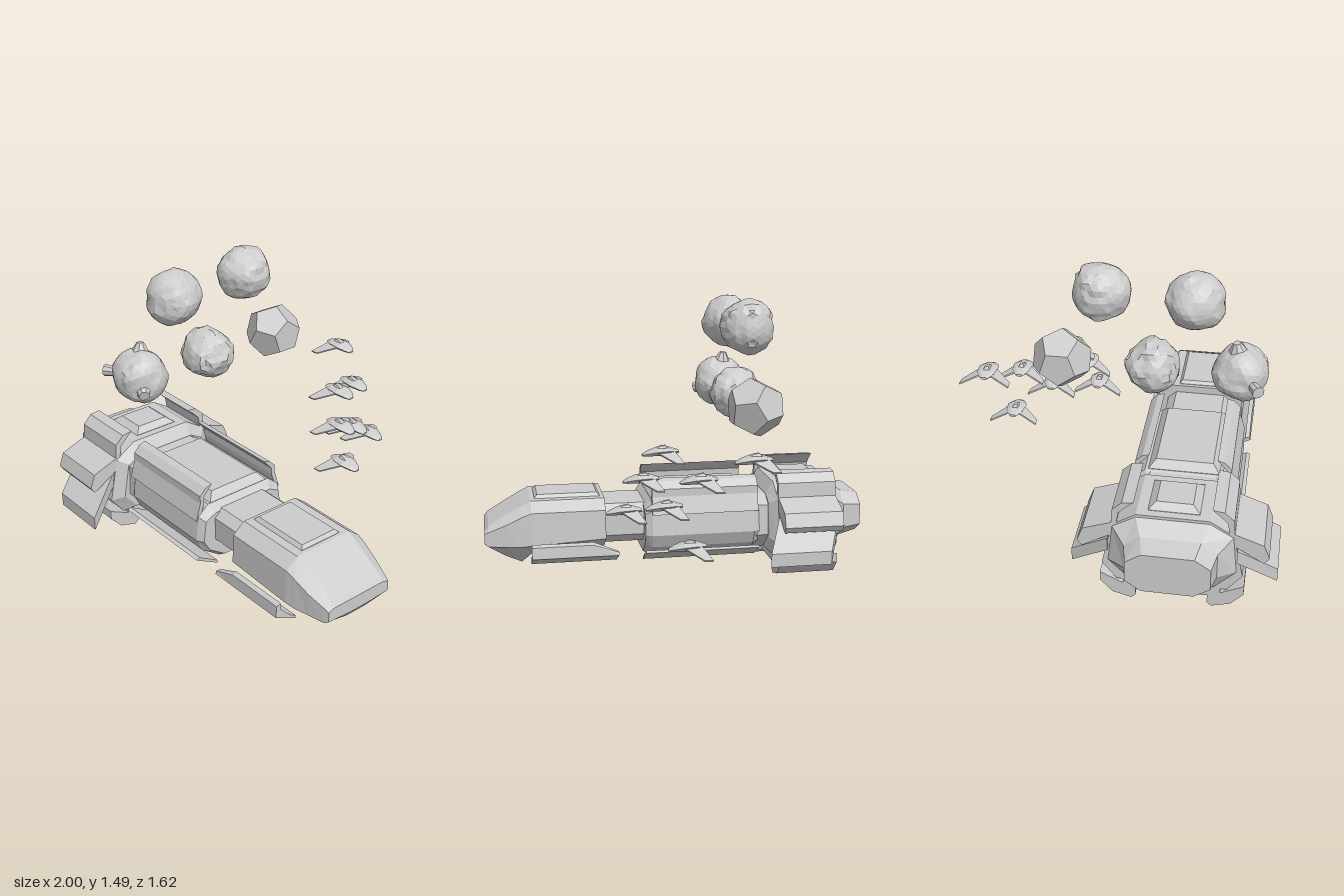
import * as THREE from 'three';

const material = new THREE.MeshStandardMaterial({ color: 0xcccccc, flatShading: true, side: THREE.DoubleSide });

function addMesh(parent, name, geometry) {
  const mesh = new THREE.Mesh(geometry, material);
  mesh.name = name;
  parent.add(mesh);
  return mesh;
}

// Joins cross-sections { x, pts: [[z, y], ...] } in order of rising x, with end caps.
function loft(sections) {
  const contour = sections[0].pts.map(([z, y]) => new THREE.Vector2(-z, y));
  const flip = THREE.ShapeUtils.isClockWise(contour);
  if (flip) contour.reverse();
  const rings = sections.map(({ x, pts, shear = 0 }) => {
    const ring = pts.map(([z, y]) => [x + shear * Math.abs(z), y, z]);
    return flip ? ring.reverse() : ring;
  });
  const n = contour.length, last = rings.length - 1, out = [];
  const tri = (...corners) => corners.forEach((c) => out.push(...c));
  for (let s = 0; s < last; s++) {
    for (let i = 0; i < n; i++) {
      const j = (i + 1) % n, a = rings[s], b = rings[s + 1];
      tri(a[i], a[j], b[j]);
      tri(a[i], b[j], b[i]);
    }
  }
  for (const [a, b, c] of THREE.ShapeUtils.triangulateShape(contour, [])) {
    tri(rings[last][a], rings[last][b], rings[last][c]);
    tri(rings[0][a], rings[0][c], rings[0][b]);
  }
  const geometry = new THREE.BufferGeometry();
  geometry.setAttribute('position', new THREE.Float32BufferAttribute(out, 3));
  geometry.computeVertexNormals();
  return geometry;
}

// Hull from half outlines (top to bottom), mirrored across the centre line.
function hull(parent, name, sections) {
  return addMesh(parent, name, loft(sections.map(([x, ...half]) => ({
    x, pts: [...half, ...half.map(([z, y]) => [-z, y]).reverse()],
  }))));
}

// A pair of armour plates, one on each side.
function plates(parent, name, x0, x1, profile, shear = 0) {
  for (const side of [1, -1]) {
    const pts = profile.map(([z, y]) => [z * side, y]);
    addMesh(parent, name, loft([{ x: x0, pts, shear }, { x: x1, pts, shear }]));
  }
}

// Raised roof panel with sloped edges.
function roofPanel(parent, name, x0, x1, half, y0, y1, edge) {
  hull(parent, name, [
    [x0, [half, y0 + 0.002], [half, y0]],
    [x0 + edge, [half - edge, y1], [half, y0]],
    [x1 - edge, [half - edge, y1], [half, y0]],
    [x1, [half, y0 + 0.002], [half, y0]],
  ]);
}

function carrier() {
  const ship = new THREE.Group();
  ship.name = 'carrierShip';

  // Stern engine housing and rear block
  hull(ship, 'engineHousing', [
    [-1, [0.12, 0.41], [0.195, 0.36], [0.195, 0.25], [0.12, 0.2]],
    [-0.9, [0.14, 0.43], [0.215, 0.37], [0.215, 0.24], [0.14, 0.18]],
    [-0.83, [0.17, 0.485], [0.28, 0.42], [0.3, 0.22], [0.2, 0.12]],
  ]);
  const block = [[0.17, 0.5], [0.28, 0.43], [0.33, 0.2], [0.26, 0.11]];
  hull(ship, 'rearBlock', [
    [-0.83, ...block], [-0.52, ...block],
    [-0.48, [0.16, 0.44], [0.235, 0.4], [0.27, 0.22], [0.2, 0.14]],
  ]);
  roofPanel(ship, 'rearRoofPanel', -0.79, -0.56, 0.12, 0.5, 0.53, 0.035);

  // Rear armour: hooked hood plates, swept wings and lower claws
  plates(ship, 'hoodPlate', -0.83, -0.52, [
    [0.18, 0.565], [0.235, 0.558], [0.28, 0.515], [0.285, 0.44], [0.42, 0.39],
    [0.447, 0.32], [0.425, 0.288], [0.27, 0.38], [0.25, 0.5], [0.215, 0.535]]);
  plates(ship, 'sweptWing', -0.995, -0.675, [[0.49, 0.2], [0.49, 0.13], [0.3, 0.29], [0.3, 0.36]], 0.49);
  plates(ship, 'lowerClaw', -0.83, -0.52, [
    [0, 0.118], [0.17, 0.118], [0.23, 0.13], [0.23, 0.085], [0.34, 0.138], [0.34, 0.09],
    [0.28, 0.025], [0.19, 0], [0.17, 0.02], [0.17, 0.062], [0, 0.062]]);

  // Necks joining the hull sections
  const neck = [[0.13, 0.41], [0.175, 0.37], [0.175, 0.25], [0.12, 0.2]];
  hull(ship, 'forwardNeck', [[0.12, ...neck], [0.4, ...neck]]);
  const joint = [[0.16, 0.435], [0.23, 0.39], [0.24, 0.23], [0.14, 0.14]];
  hull(ship, 'rearNeck', [[-0.5, ...joint], [-0.38, ...joint]]);

  // Middle hull with roof panel, upper fins and lower rails
  const middle = [[0.19, 0.44], [0.25, 0.39], [0.265, 0.26], [0.23, 0.19], [0.13, 0.12]];
  hull(ship, 'middleHull', [
    [-0.43, [0.17, 0.42], [0.23, 0.37], [0.245, 0.26], [0.21, 0.2], [0.12, 0.14]],
    [-0.4, ...middle], [0.14, ...middle],
    [0.175, [0.17, 0.4], [0.23, 0.37], [0.245, 0.26], [0.21, 0.2], [0.12, 0.14]],
  ]);
  roofPanel(ship, 'middleRoofPanel', -0.39, 0.14, 0.175, 0.44, 0.48, 0.035);
  plates(ship, 'upperFin', -0.42, 0.14, [
    [0.165, 0.545], [0.2, 0.535], [0.235, 0.5], [0.235, 0.46], [0.262, 0.37],
    [0.24, 0.37], [0.215, 0.45], [0.213, 0.49], [0.19, 0.515]]);
  plates(ship, 'lowerRail', -0.42, 0.18, [
    [0.29, 0.245], [0.297, 0.18], [0.17, 0.11], [0.17, 0.125], [0.278, 0.188], [0.265, 0.245]].slice(1, 5));

  // Bow hull with a tapering chin
  hull(ship, 'bowHull', [
    [0.38, [0.16, 0.45], [0.225, 0.4], [0.232, 0.25], [0.12, 0.18]],
    [0.76, [0.16, 0.45], [0.225, 0.4], [0.232, 0.23], [0.1, 0.15]],
    [0.81, [0.155, 0.425], [0.22, 0.38], [0.225, 0.225], [0.055, 0.095]],
    [0.89, [0.15, 0.38], [0.21, 0.34], [0.21, 0.225], [0.055, 0.13]],
    [0.98, [0.15, 0.325], [0.19, 0.3], [0.192, 0.225], [0.055, 0.2]],
    [1, [0.15, 0.3], [0.185, 0.29], [0.185, 0.238], [0.055, 0.23]],
  ]);
  roofPanel(ship, 'bowRoofPanel', 0.4, 0.74, 0.115, 0.45, 0.468, 0.015);
  const bowRail = [[0.262, 0.245], [0.285, 0.235], [0.29, 0.175], [0.17, 0.115], [0.17, 0.13], [0.265, 0.185]];
  for (const side of [1, -1]) {
    const at = (x, lift) => ({ x, pts: bowRail.map(([z, y]) => [z * side, Math.min(y, lift)]) });
    addMesh(ship, 'bowRail', loft([at(0.32, 0.19), at(0.45, 0.245), at(0.765, 0.245)]));
  }
  ship.position.z = 0.315;
  return ship;
}

// Small fighter: faceted hull, cockpit and drooping swept wings
function fighter() {
  const craft = new THREE.Group();
  craft.name = 'fighter';
  hull(craft, 'fighterHull', [
    [-0.075, [0.01, 0.005], [0.02, 0], [0.01, -0.008]],
    [-0.03, [0.025, 0.018], [0.045, 0.008], [0.03, -0.012]],
    [0.03, [0.025, 0.018], [0.05, 0.006], [0.03, -0.015]],
    [0.075, [0.015, 0.004], [0.033, -0.004], [0.02, -0.018]],
    [0.1, [0.008, -0.01], [0.015, -0.013], [0.01, -0.018]],
  ]);
  hull(craft, 'cockpit', [
    [-0.025, [0.012, 0.018], [0.018, 0.012]],
    [-0.012, [0.01, 0.03], [0.018, 0.012]],
    [0.015, [0.01, 0.027], [0.018, 0.012]],
    [0.03, [0.012, 0.016], [0.018, 0.01]],
  ]);
  const outline = [[0.045, 0.02], [-0.045, 0.13], [-0.085, 0.133], [-0.05, 0.02]];
  const shape = new THREE.Shape(outline.map((p) => new THREE.Vector2(...p)));
  for (const side of [1, -1]) {
    const wing = new THREE.ExtrudeGeometry(shape, { depth: 0.008, bevelEnabled: false });
    wing.translate(0, 0, -0.004).rotateX(side * (Math.PI / 2 + 0.38));
    addMesh(craft, 'fighterWing', wing).position.y = 0.012;
  }
  return craft;
}

// Rocky ball: noise plus stepped ledges, the same for shared corners
function rock(radius, detail, rough, ledge, seed) {
  const geometry = new THREE.IcosahedronGeometry(1, detail);
  const p = geometry.attributes.position, v = new THREE.Vector3();
  for (let i = 0; i < p.count; i++) {
    v.fromBufferAttribute(p, i).normalize();
    const wave = Math.sin(v.x * 4.1 + seed) + Math.sin(v.y * 5.3 + seed * 2 + v.z * 2) + Math.sin(v.z * 4.7 - seed + v.x * 2);
    const grain = Math.sin(v.x * 23 + seed * 3) * Math.sin(v.y * 27 + seed) * Math.sin(v.z * 25 - seed * 2);
    v.multiplyScalar(radius * (1 + (wave > 0.2 ? ledge : -ledge) + rough * grain + rough * 0.3 * wave));
    p.setXYZ(i, v.x, v.y, v.z);
  }
  geometry.computeVertexNormals();
  return geometry;
}

export function createModel() {
  const model = new THREE.Group();
  model.add(carrier());

  // Fighter squadron
  const squadron = [
    [-0.22, 0.82, -0.69], [0.01, 0.71, -0.575], [0.075, 0.415, -0.64], [0.15, 0.555, -0.445],
    [0.15, 0.795, -0.335], [0.235, 0.65, -0.27], [0.315, 0.485, -0.23],
  ];
  for (const place of squadron) {
    const craft = fighter();
    craft.position.set(...place);
    model.add(craft);
  }

  // Asteroids: [y, z, radius, detail, rough, ledge, seed]
  const rocks = [
    [1.335, 0.34, 0.136, 4, 0.03, 0.025, 1.3], [1.355, -0.095, 0.134, 4, 0.06, 0.01, 2.6],
    [0.985, 0.147, 0.131, 4, 0.06, 0.018, 4.2], [0.985, 0.56, 0.134, 4, 0.02, 0.03, 5.1],
  ];
  for (const [y, z, ...form] of rocks) {
    addMesh(model, 'asteroid', rock(...form)).position.set(-0.31, y, z);
  }
  const smooth = new THREE.DodecahedronGeometry(0.147).rotateZ(-Math.atan(1 / 1.618034));
  addMesh(model, 'facetedAsteroid', smooth).position.set(-0.31, 0.985, -0.29);

  // Outcrops on the last asteroid: [direction, top radius, base radius, reach]
  const outcrops = [
    [[-0.1, 1, -0.15], 0.018, 0.065, 0.165], [[-0.87, -0.02, 0.48], 0.03, 0.022, 0.19],
    [[0.85, -0.3, 0.42], 0.028, 0.045, 0.15],
  ];
  for (const [dir, top, base, reach] of outcrops) {
    const axis = new THREE.Vector3(...dir).normalize();
    const outcrop = addMesh(model, 'asteroidOutcrop', new THREE.CylinderGeometry(top, base, 0.08, 8));
    outcrop.quaternion.setFromUnitVectors(new THREE.Vector3(0, 1, 0), axis);
    outcrop.position.set(-0.31, 0.985, 0.56).addScaledVector(axis, reach - 0.04);
  }
  return model;
}
